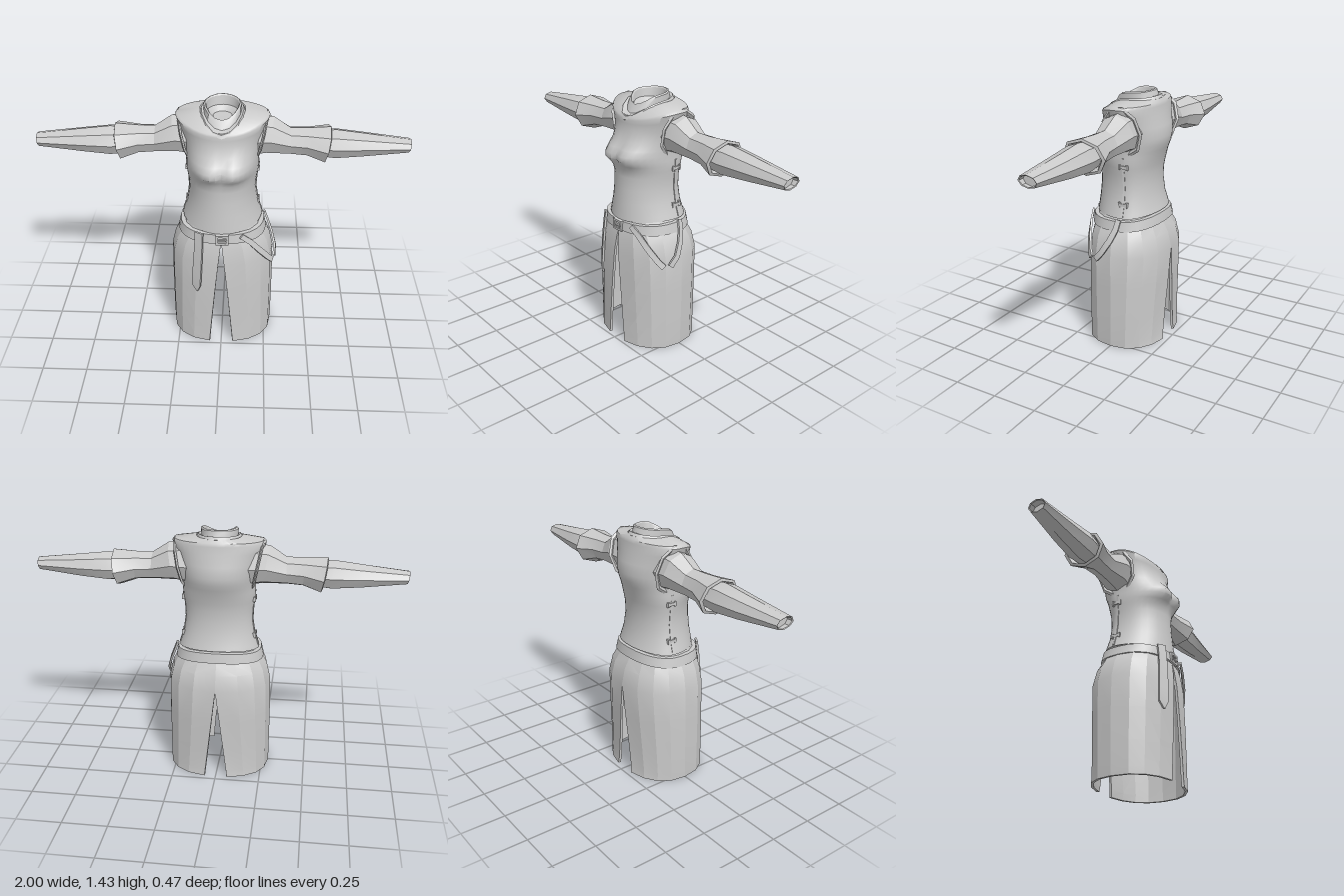
import * as THREE from 'three';
import { toCreasedNormals } from 'three/addons/utils/BufferGeometryUtils.js';

const cloth = new THREE.MeshStandardMaterial({ color: 0xcacaca, side: THREE.DoubleSide });
cloth.name = 'grey cloth';

// Skin a list of closed rings, optionally filling the first and last
function loft(rings, { crease = 0.6, capStart = false, capEnd = false } = {}) {
  const n = rings[0].length, pos = rings.flat(2), idx = [];
  for (let r = 0; r < rings.length - 1; r++) {
    for (let i = 0; i < n; i++) {
      const a = r * n + i, b = r * n + (i + 1) % n;
      idx.push(a, b, b + n, a, b + n, a + n);
    }
  }
  const last = (rings.length - 1) * n;
  for (let i = 1; i < n - 1; i++) {
    if (capStart) idx.push(0, i + 1, i);
    if (capEnd) idx.push(last, last + i, last + i + 1);
  }
  const g = new THREE.BufferGeometry();
  g.setAttribute('position', new THREE.Float32BufferAttribute(pos, 3));
  g.setIndex(idx);
  return toCreasedNormals(g, crease);
}

function add(parent, name, geometry) {
  const m = new THREE.Mesh(geometry, cloth);
  m.name = name;
  parent.add(m);
  return m;
}

// Point on a horizontal body section; dyF and dyB shift the front and back up or down,
// a power below 1 makes the oval squarer
const HIP = 0.86;
const curve = (v, power) => Math.sign(v) * Math.pow(Math.abs(v), power);
function bodyPoint([y, hw, zf, zb, dyF = 0, dyB = 0], a, z0, power) {
  const c = Math.cos(a);
  return [hw * curve(Math.sin(a), power), y + c * c * (c > 0 ? dyF : dyB),
    z0 + curve(c, power) * (c > 0 ? zf - z0 : z0 - zb)];
}
const bodyRing = (row, n, z0, power = 1) =>
  Array.from({ length: n }, (_, i) => bodyPoint(row, (i / n) * Math.PI * 2, z0, power));

// Section across an arm, leaning by tilt
const armRing = ([x, cy, ry, cz, rz, tilt = 0]) => Array.from({ length: 8 }, (_, i) => {
  const a = (i / 8) * Math.PI * 2;
  return [x + tilt * Math.cos(a), cy + ry * Math.cos(a), cz + rz * Math.sin(a)];
});

// Flat strap following points [x, y, z, half width], facing away from the body
function strap(points, thick = 0.012) {
  const v = points.map(p => new THREE.Vector3(p[0], p[1], p[2]));
  return loft(v.map((p, i) => {
    const t = v[Math.min(i + 1, v.length - 1)].clone().sub(v[Math.max(i - 1, 0)]).normalize();
    const side = new THREE.Vector3().crossVectors(t, new THREE.Vector3(p.x, 0, p.z)).normalize();
    const out = new THREE.Vector3().crossVectors(side, t).normalize();
    return [[1, 1], [-1, 1], [-1, -1], [1, -1]].map(([s, o]) =>
      p.clone().addScaledVector(side, s * points[i][3]).addScaledVector(out, o * thick / 2).toArray());
  }), { crease: 0.4, capStart: true, capEnd: true });
}

// Half of the skirt, a thick wall from the front slit round to the back slit
function skirtHalf() {
  const cols = 9, wall = 0.014;
  const rows = [
    [0, 0.288, 0.235, -0.226], [0.04, 0.29, 0.233, -0.221], [0.18, 0.291, 0.232, -0.222],
    [0.36, 0.291, 0.23, -0.227], [0.55, 0.288, 0.226, -0.231], [0.64, 0.267, 0.216, -0.21],
    [0.69, 0.24, 0.205, -0.182], [0.735, 0.215, 0.192, -0.165], [0.79, 0.19, 0.178, -0.14],
  ];
  const section = (row, outerInset) => {
    const [y, hw] = row;
    const slit = w => Math.asin(Math.pow(w / hw, 1 / HIP));
    const a0 = slit(0.068 * Math.pow(Math.max(0, 1 - y / 0.68), 0.85));
    const a1 = Math.PI - slit(0.065 * Math.max(0, 1 - y / 0.55));
    const line = inset => Array.from({ length: cols }, (_, i) => bodyPoint(
      [y, hw - inset, row[2] - inset, row[3] + inset], a0 + (a1 - a0) * i / (cols - 1), 0, HIP));
    return [...line(outerInset), ...line(wall).reverse()];
  };
  return loft([section(rows[0], wall), ...rows.map(r => section(r, 0))], { crease: 0.3 });
}

export function createModel() {
  const model = new THREE.Group();
  model.name = 'outfit';

  // Fitted top, with the chest pushed forward
  const torsoRows = [
    [0.765, 0.2, 0.185, -0.15, -0.012, 0.01],
    [0.757, 0.222, 0.205, -0.172, -0.012, 0.012], [0.78, 0.215, 0.203, -0.166, -0.008, 0.008],
    [0.84, 0.196, 0.196, -0.15], [0.92, 0.184, 0.19, -0.14], [0.99, 0.187, 0.187, -0.142],
    [1.03, 0.194, 0.186, -0.15], [1.06, 0.197, 0.185, -0.158], [1.09, 0.197, 0.183, -0.167],
    [1.12, 0.196, 0.18, -0.178], [1.15, 0.199, 0.174, -0.19], [1.19, 0.204, 0.165, -0.198],
    [1.25, 0.217, 0.158, -0.19], [1.31, 0.235, 0.155, -0.172, -0.03],
    [1.355, 0.25, 0.155, -0.168, -0.055, 0], [1.368, 0.24, 0.152, -0.165, -0.058, 0.005],
    [1.385, 0.12, 0.145, -0.15, -0.065, 0.005],
  ];
  const torso = torsoRows.map(row => bodyRing(row, 40, -0.03).map(([x, y, z]) => {
    const dy = (y - 1.105) / (y < 1.105 ? 0.05 : 0.07), dx = (Math.abs(x) - 0.08) / 0.1;
    return [x, y, z > 0 ? z + 0.066 * Math.exp(-dy * dy - dx * dx) : z];
  }));
  add(model, 'top', loft(torso, { crease: 0.8, capStart: true }));

  // Rolled collar with a shallow opening
  add(model, 'collar', loft([
    [1.36, 0.115, 0.14, -0.145, -0.07, 0.02], [1.375, 0.122, 0.16, -0.155, -0.078, 0.015],
    [1.392, 0.112, 0.152, -0.145, -0.077, 0.012], [1.385, 0.1, 0.118, -0.13, -0.06, 0.015],
    [1.418, 0.1, 0.095, -0.12, -0.055, 0.01], [1.425, 0.092, 0.09, -0.11, -0.055, 0.006],
    [1.418, 0.086, 0.083, -0.104, -0.055, 0.006], [1.375, 0.08, 0.075, -0.095, -0.025, 0],
    [1.35, 0.05, 0.045, -0.065],
  ].map(r => bodyRing(r, 16, -0.015)), { crease: 0.5, capEnd: true }));

  // Belt, higher at the back
  const belt = [
    [0.688, 0.22, 0.19, -0.165], [0.688, 0.246, 0.216, -0.19], [0.742, 0.234, 0.21, -0.18],
    [0.742, 0.205, 0.18, -0.155], [0.688, 0.22, 0.19, -0.165],
  ].map(r => bodyRing([...r, 0, 0.018], 28, 0, HIP));
  add(model, 'belt', loft(belt, { crease: 0.5 }));

  // Buckle frame and prong
  const frame = new THREE.Shape([[-0.035, -0.03], [0.035, -0.03], [0.035, 0.03], [-0.035, 0.03]]
    .map(p => new THREE.Vector2(...p)));
  frame.holes.push(new THREE.Path([[-0.022, -0.018], [-0.022, 0.018], [0.022, 0.018], [0.022, -0.018]]
    .map(p => new THREE.Vector2(...p))));
  add(model, 'buckle', new THREE.ExtrudeGeometry(frame, { depth: 0.014, bevelEnabled: false }))
    .position.set(0.005, 0.713, 0.208);
  add(model, 'buckleProng', new THREE.BoxGeometry(0.045, 0.008, 0.01)).position.set(0.01, 0.713, 0.22);

  // Hanging belt end and the looped side strap
  add(model, 'beltEnd', strap([
    [-0.12, 0.75, 0.202, 0.024], [-0.122, 0.69, 0.21, 0.025], [-0.127, 0.6, 0.217, 0.026],
    [-0.135, 0.48, 0.221, 0.028], [-0.139, 0.41, 0.222, 0.028], [-0.133, 0.37, 0.223, 0.004],
  ]));
  add(model, 'sideStrapFront', strap([
    [0.11, 0.735, 0.206, 0.014], [0.16, 0.69, 0.192, 0.015], [0.215, 0.62, 0.17, 0.016],
    [0.262, 0.555, 0.14, 0.016], [0.284, 0.525, 0.118, 0.016],
  ]));
  add(model, 'sideStrapBack', strap([
    [0.236, 0.755, -0.03, 0.014], [0.257, 0.7, -0.022, 0.015], [0.279, 0.645, 0, 0.016],
    [0.3, 0.575, 0.04, 0.016], [0.296, 0.525, 0.082, 0.016],
  ]));

  // Everything that exists once on each side
  for (const [name, s] of [['left', 1], ['right', -1]]) {
    const half = new THREE.Group();
    half.name = name + 'Side';
    half.scale.x = s;
    model.add(half);

    add(half, name + 'Skirt', skirtHalf());

    // Upper sleeve with a flared cuff
    add(half, name + 'Sleeve', loft([
      [0.16, 1.228, 0.12, -0.035, 0.1, 0.03], [0.25, 1.233, 0.105, -0.036, 0.1, 0.02],
      [0.36, 1.203, 0.075, -0.03, 0.076], [0.45, 1.2, 0.078, -0.03, 0.084],
      [0.557, 1.188, 0.098, -0.032, 0.124, 0.017], [0.562, 1.188, 0.084, -0.032, 0.106, 0.015],
      [0.5, 1.19, 0.066, -0.03, 0.075],
    ].map(armRing), { crease: 0.3 }));

    // Tight lower sleeve, hollow at the wrist
    add(half, name + 'LowerSleeve', loft([
      [0.5, 1.19, 0.068, -0.03, 0.08], [0.6, 1.19, 0.08, -0.03, 0.09], [0.75, 1.188, 0.064, -0.03, 0.077],
      [0.993, 1.188, 0.034, -0.025, 0.053, 0.007], [0.99, 1.188, 0.029, -0.025, 0.047, 0.006],
      [0.96, 1.188, 0.03, -0.025, 0.047],
    ].map(armRing), { crease: 0.3, capEnd: true }));

    // Armhole rim, leaning out towards the shoulder
    const rim = new THREE.TorusGeometry(0.11, 0.012, 4, 9).rotateY(Math.PI / 2).scale(0.6, 1.18, 1);
    const p = rim.attributes.position;
    for (let i = 0; i < p.count; i++) p.setX(i, p.getX(i) + p.getY(i) * 0.2);
    add(half, name + 'ArmholeRim', toCreasedNormals(rim, 0.3)).position.set(0.208, 1.232, -0.036);

    // Side seam and its toggles
    add(half, name + 'SideSeam', strap([
      [0.217, 0.765, -0.04, 0.006], [0.193, 0.84, -0.038, 0.006], [0.181, 0.92, -0.036, 0.006],
      [0.184, 0.99, -0.034, 0.006], [0.194, 1.09, -0.033, 0.006],
    ]));
    for (const [y, x] of [[0.83, 0.197], [1.04, 0.193]]) {
      add(half, name + 'Toggle', new THREE.BoxGeometry(0.016, 0.016, 0.05)).position.set(x, y, -0.037);
      for (const dz of [-0.022, 0.022])
        add(half, name + 'ToggleEnd', new THREE.BoxGeometry(0.018, 0.028, 0.01)).position.set(x, y, -0.037 + dz);
    }
  }
  return model;
}
